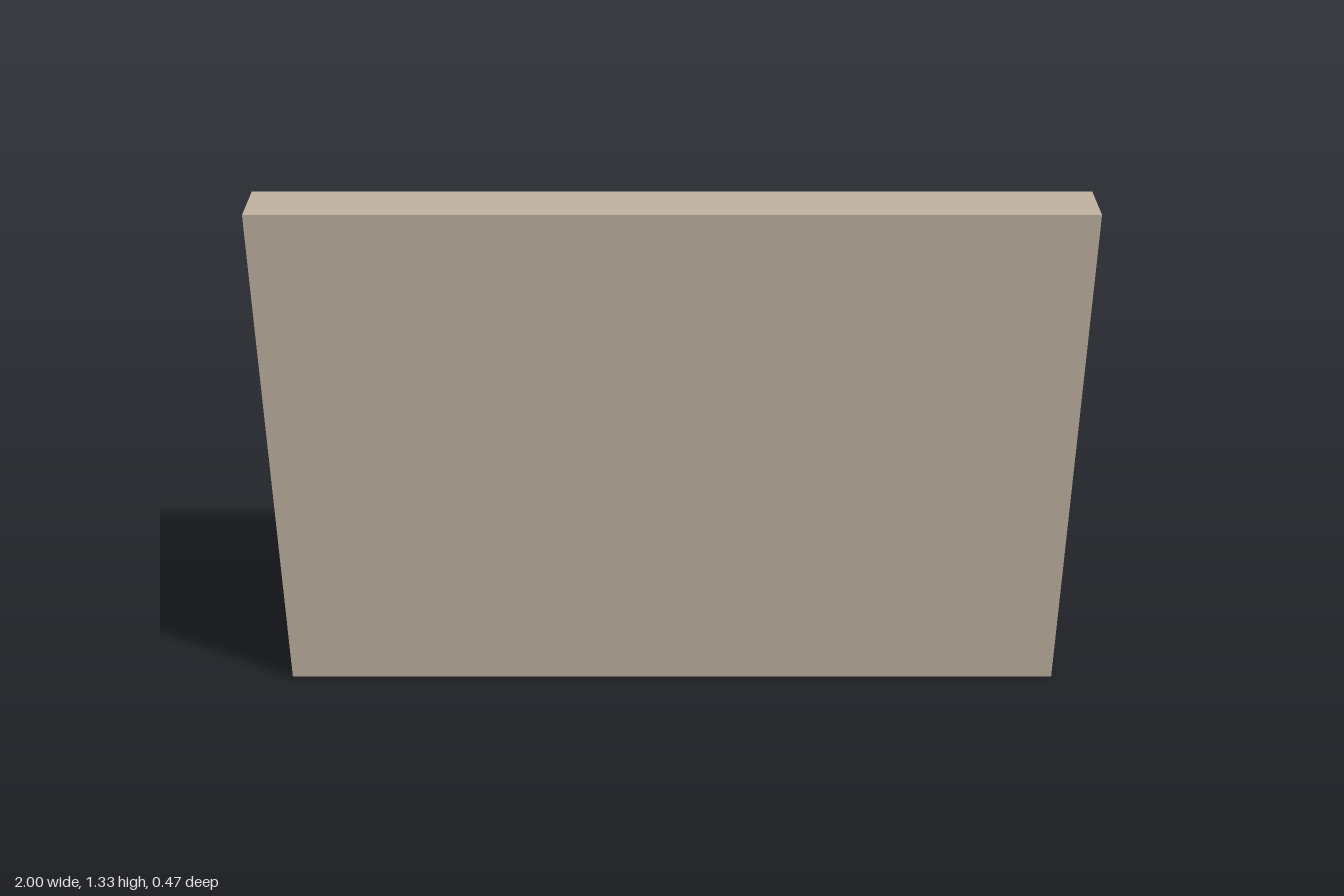
import * as THREE from 'three';

export function createModel() {
  const model = new THREE.Group();
  model.name = 'wallShelf';
  const wood = new THREE.MeshStandardMaterial({ color: 0xbeb0a0, flatShading: true });
  const grey = new THREE.MeshStandardMaterial({ color: 0xcccccc, flatShading: true });

  // Box given by its limits along y and z, centred on x
  function addBoard(name, width, y0, y1, z0, z1) {
    const mesh = new THREE.Mesh(new THREE.BoxGeometry(width, y1 - y0, z1 - z0), wood);
    mesh.position.set(0, (y0 + y1) / 2, (z0 + z1) / 2);
    mesh.name = name;
    model.add(mesh);
  }

  // Twelve-sided cylinder between two heights
  function addDrum(parent, name, radius, y0, y1, material) {
    const mesh = new THREE.Mesh(new THREE.CylinderGeometry(radius, radius, y1 - y0, 12), material);
    mesh.position.y = (y0 + y1) / 2;
    mesh.name = name;
    parent.add(mesh);
  }

  // Wall panel and the two shelves behind it
  addBoard('wallPanel', 2, 0, 1.333, 0.1, 0.233);
  addBoard('upperShelf', 1.867, 0.897, 0.977, -0.2, 0.1);
  addBoard('lowerShelf', 1.867, 0.217, 0.317, -0.233, 0.1);

  // Three jars, each with a band just below its rim
  for (const x of [-0.567, 0, 0.567]) {
    const jar = new THREE.Group();
    jar.name = 'jar';
    jar.position.set(x, 0, -0.033);
    addDrum(jar, 'jarBody', 0.15, 0.317, 0.717, grey);
    addDrum(jar, 'jarBand', 0.157, 0.628, 0.71, wood);
    model.add(jar);
  }
  return model;
}
